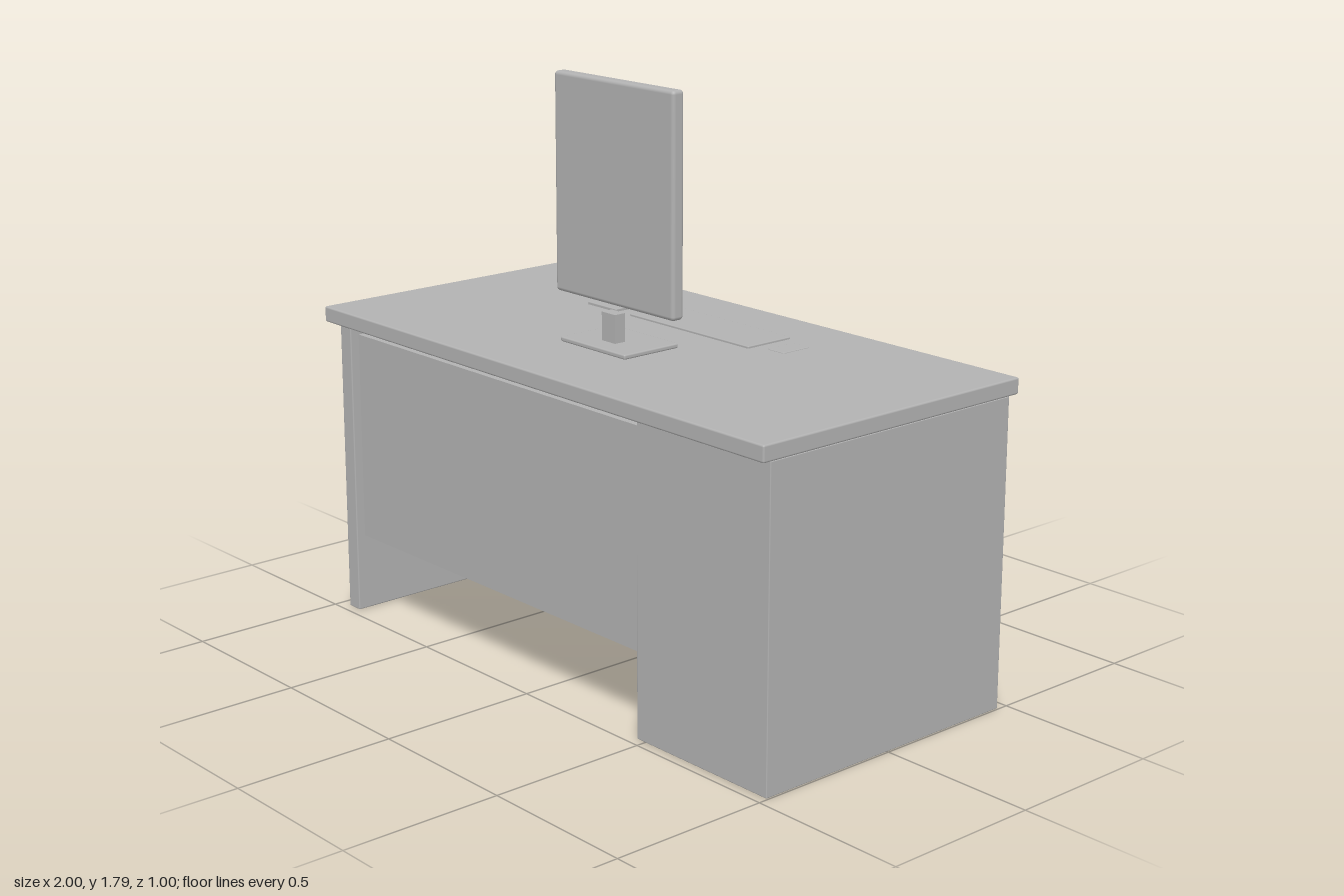
import * as THREE from 'three';
import { RoundedBoxGeometry } from 'three/addons/geometries/RoundedBoxGeometry.js';

export function createModel() {
  const desk = new THREE.Group();
  desk.name = 'desk';
  const grey = new THREE.MeshStandardMaterial({ color: 0xb2b2b2 });
  grey.name = 'grey';

  // Box given by its [min, max] extents, with optional softened edges
  function block(name, [x0, x1], [y0, y1], [z0, z1], radius = 0) {
    const size = [x1 - x0, y1 - y0, z1 - z0];
    const geometry = radius
      ? new RoundedBoxGeometry(...size, 2, radius)
      : new THREE.BoxGeometry(...size);
    const mesh = new THREE.Mesh(geometry, grey);
    mesh.name = name;
    mesh.position.set((x0 + x1) / 2, (y0 + y1) / 2, (z0 + z1) / 2);
    desk.add(mesh);
    return mesh;
  }

  // Desk body
  block('desktop', [-1, 1], [0.95, 1], [-0.5, 0.5], 0.006);
  block('cabinet', [0.465, 0.996], [0, 0.95], [-0.465, 0.47], 0.003);
  block('sideLeg', [-0.96, -0.905], [0, 0.95], [-0.47, 0.47], 0.004);
  block('modestyPanel', [-0.865, 0.466], [0.265, 0.928], [0.445, 0.467]);

  // Drawers with pull handles on the sitting side
  for (let i = 0; i < 3; i++) {
    const y = 0.18 + i * 0.295;
    block('drawerFront', [0.487, 0.973], [y - 0.127, y + 0.127], [-0.481, -0.463], 0.005);
    block('drawerHandle', [0.655, 0.805], [y + 0.06, y + 0.077], [-0.502, -0.478], 0.007);
  }

  // Monitor floating just above its stand
  block('monitorBase', [-0.146, 0.146], [1.008, 1.023], [0.03, 0.238], 0.005);
  block('monitorNeck', [-0.03, 0.03], [1.02, 1.11], [0.137, 0.175]);
  block('monitorScreen', [-0.265, 0.265], [1.13, 1.795], [0.114, 0.158], 0.012);

  // Items lying on the desktop
  block('keyboard', [-0.267, 0.265], [0.99, 1.007], [-0.315, -0.14], 0.003);
  block('mouse', [0.308, 0.376], [0.985, 1.003], [-0.282, -0.178], 0.003);
  block('notepad', [-0.47, -0.335], [0.99, 1.009], [-0.236, -0.14], 0.003);

  return desk;
}
